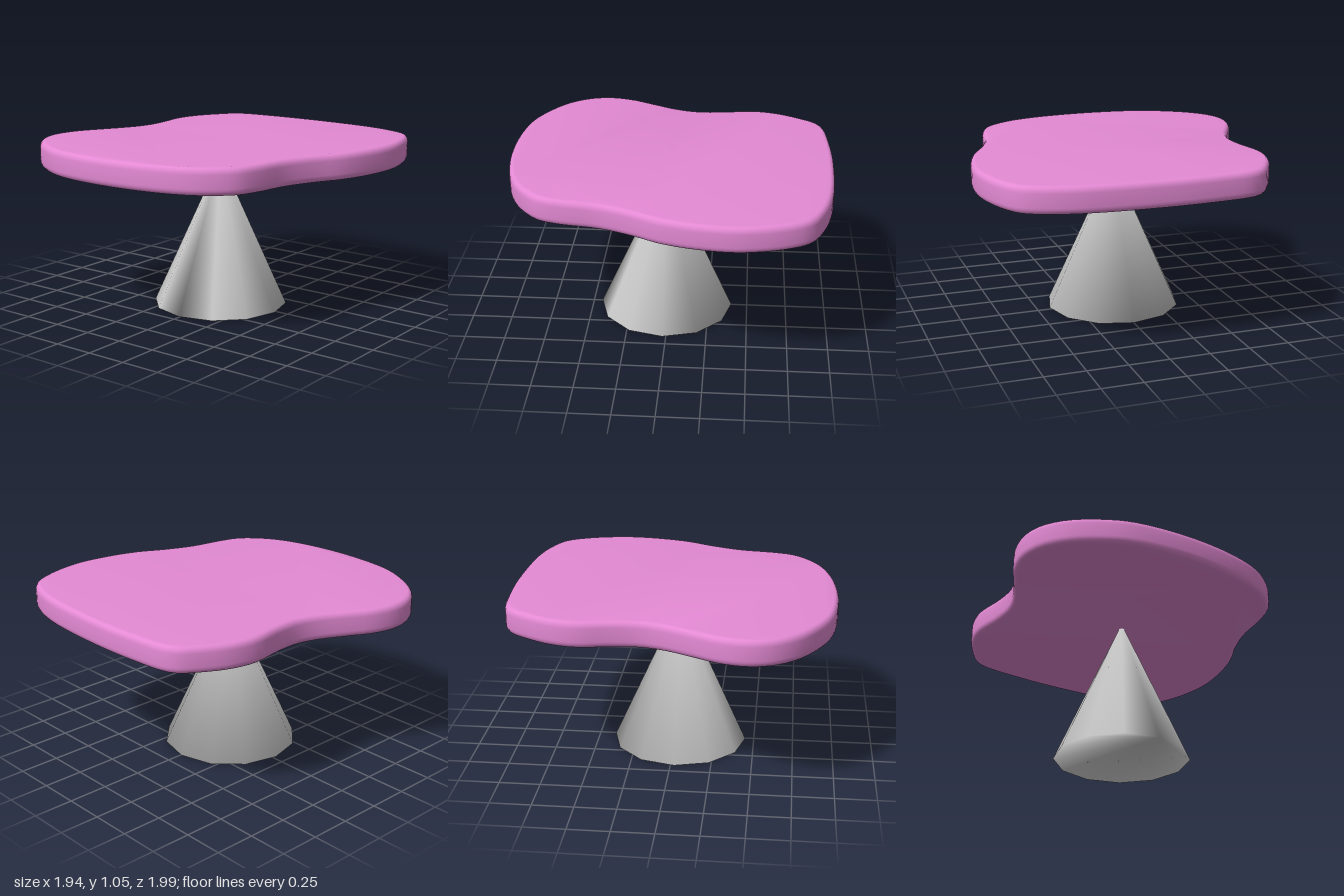
import * as THREE from 'three';
import { toCreasedNormals } from 'three/addons/utils/BufferGeometryUtils.js';

// Free-form outline of the top, as x, z pairs
const OUTLINE = [
  [0, -1], [0.5, -0.97], [0.72, -0.91], [0.835, -0.84], [0.91, -0.7], [0.955, -0.53],
  [0.967, -0.4], [0.945, -0.2], [0.89, 0], [0.8, 0.18], [0.73, 0.37], [0.695, 0.58],
  [0.65, 0.72], [0.555, 0.82], [0.425, 0.9], [0.19, 0.965], [-0.16, 0.99], [-0.5, 0.95],
  [-0.685, 0.87], [-0.845, 0.755], [-0.94, 0.62], [-0.97, 0.475], [-0.94, 0.32],
  [-0.86, 0.16], [-0.78, 0], [-0.745, -0.13], [-0.75, -0.29], [-0.78, -0.5],
  [-0.75, -0.66], [-0.675, -0.81], [-0.59, -0.925], [-0.5, -0.965], [-0.34, -0.985],
];

// Flat slab with a softly rounded rim
function tableTopGeometry(bottom, top) {
  const curve = new THREE.CatmullRomCurve3(
    OUTLINE.map(([x, z]) => new THREE.Vector3(x, z, 0)), true);
  const points = curve.getSpacedPoints(120).slice(0, -1);
  const shape = new THREE.Shape(points.map((p) => new THREE.Vector2(p.x, p.y)));
  const round = 0.04, inset = 0.03;
  const geometry = new THREE.ExtrudeGeometry(shape, {
    depth: top - bottom - 2 * round,
    bevelThickness: round, bevelSize: inset, bevelOffset: -inset, bevelSegments: 5,
  });
  geometry.rotateX(Math.PI / 2);
  geometry.translate(0, top - round, 0);
  return toCreasedNormals(geometry, 0.7);
}

// Closed cone whose corners are shared, so shading flows over the base edge
function coneGeometry(radius, height, sides) {
  const positions = [0, height, 0];
  const index = [];
  for (let i = 0; i < sides; i++) {
    const a = (i / sides) * Math.PI * 2;
    positions.push(radius * Math.sin(a), 0, radius * Math.cos(a));
    index.push(0, 1 + i, 1 + ((i + 1) % sides));
    if (i > 1) index.push(1, 1 + i, i);
  }
  const geometry = new THREE.BufferGeometry();
  geometry.setAttribute('position', new THREE.Float32BufferAttribute(positions, 3));
  geometry.setIndex(index);
  geometry.computeVertexNormals();
  return geometry;
}

export function createModel() {
  const model = new THREE.Group();
  model.name = 'table';

  const top = new THREE.Mesh(
    tableTopGeometry(0.895, 1.055),
    new THREE.MeshStandardMaterial({ color: 0xe48ad4 }));
  top.name = 'tableTop';

  const base = new THREE.Mesh(
    coneGeometry(0.422, 0.935, 12),
    new THREE.MeshStandardMaterial({ color: 0xcccccc }));
  base.name = 'coneBase';
  base.position.set(-0.005, 0, 0.023);

  model.add(top, base);
  return model;
}
